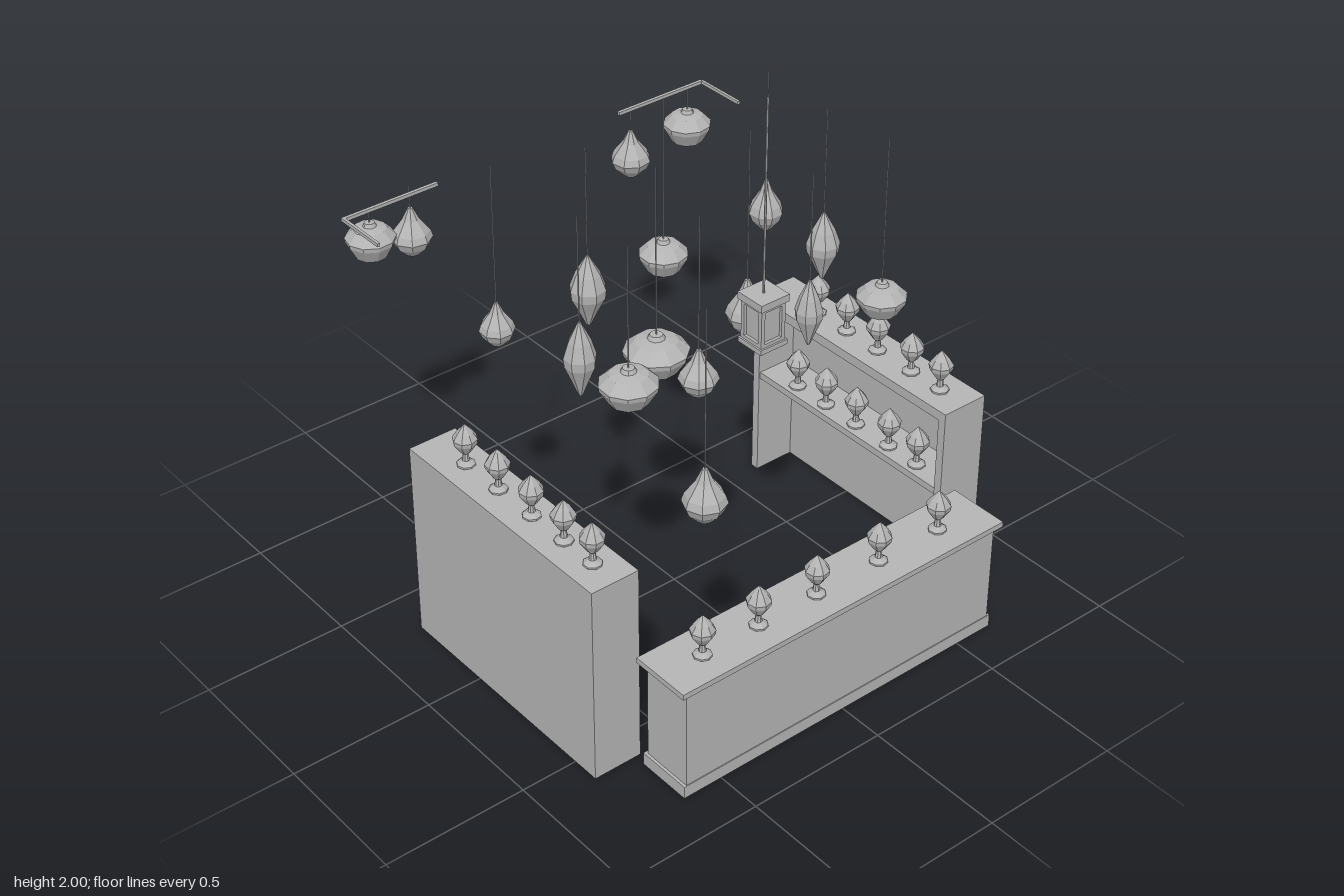
import * as THREE from 'three';

const grey = new THREE.MeshStandardMaterial({ color: 0xb4b4b4, flatShading: true });
grey.name = 'plain grey';

// Box given by its min and max corners
function box(parent, name, x0, x1, y0, y1, z0, z1) {
  const m = new THREE.Mesh(new THREE.BoxGeometry(x1 - x0, y1 - y0, z1 - z0), grey);
  m.position.set((x0 + x1) / 2, (y0 + y1) / 2, (z0 + z1) / 2);
  m.name = name;
  parent.add(m);
  return m;
}

// Faceted turned shape; profile is [radius, height] scaled by r and h
function turned(parent, name, profile, sides, r, h, x, y, z) {
  const pts = profile.map(([a, b]) => new THREE.Vector2(a * r, b * h));
  const m = new THREE.Mesh(new THREE.LatheGeometry(pts, sides), grey);
  m.position.set(x, y, z);
  m.rotation.y = x * 3 + z * 2;
  m.name = name;
  parent.add(m);
}

function wire(parent, name, r, x, z, y0, y1) {
  const m = new THREE.Mesh(new THREE.CylinderGeometry(r, r, y1 - y0, 6), grey);
  m.position.set(x, (y0 + y1) / 2, z);
  m.name = name;
  parent.add(m);
}

const SHAPES = {
  squat: { sides: 10, profile: [[0, 0], [0.28, 0], [0.65, 0.1], [0.97, 0.48], [1, 0.6], [0.65, 0.84], [0.27, 0.9], [0.2, 1], [0, 1]] },
  onion: { sides: 8, profile: [[0, 0], [0.32, 0], [0.82, 0.2], [1, 0.36], [0.88, 0.5], [0.4, 0.76], [0.12, 1], [0, 1]] },
  spindle: { sides: 8, profile: [[0, 0], [0.12, 0], [0.5, 0.2], [0.95, 0.42], [1, 0.54], [0.7, 0.74], [0.28, 0.92], [0.1, 1], [0, 1]] },
};
const LAMP = [[0, 0], [0.75, 0], [0.75, 0.04], [0.3, 0.12], [0.22, 0.28], [0.45, 0.34], [0.95, 0.55], [1, 0.65], [0.65, 0.8], [0.2, 0.94], [0, 1]];

function tableLamp(parent, x, y, z) {
  turned(parent, 'tableLamp', LAMP, 8, 0.041, 0.153, x, y, z);
}

function hangingLantern(parent, type, x, z, r, y0, y1, wireTop) {
  const g = new THREE.Group();
  g.name = type + 'Lantern';
  const s = SHAPES[type];
  turned(g, 'lanternBody', s.profile, s.sides, r, y1 - y0, x, y0, z);
  wire(g, 'lanternWire', 0.0022, x, z, y1 - 0.005, wireTop);
  parent.add(g);
}

// Shelf unit open towards the middle; s is the side it stands on
function cabinet(s, lampZ) {
  const g = new THREE.Group();
  g.name = 'shelfCabinet';
  const part = (name, a, b, y0, y1, z0, z1) =>
    box(g, name, Math.min(s * a, s * b), Math.max(s * a, s * b), y0, y1, z0, z1);
  part('backPanel', 0.78, 0.8, 0, 0.72, -0.33, 0.6);
  part('endPanel', 0.625, 0.78, 0, 0.72, -0.33, -0.3);
  part('endPanel', 0.625, 0.78, 0, 0.72, 0.57, 0.6);
  part('cabinetTop', 0.625, 0.78, 0.685, 0.72, -0.3, 0.57);
  part('shelf', 0.63, 0.78, 0.385, 0.41, -0.3, 0.57);
  for (const z of lampZ) {
    tableLamp(g, s * 0.71, 0.72, z);
    tableLamp(g, s * 0.675, 0.41, z - 0.05);
  }
  return g;
}

function counter() {
  const g = new THREE.Group();
  g.name = 'counter';
  box(g, 'counterTop', -0.66, 0.66, 0.405, 0.425, 0.63, 0.85);
  box(g, 'counterBody', -0.635, 0.635, 0.04, 0.405, 0.662, 0.835);
  box(g, 'counterBase', -0.645, 0.645, 0, 0.045, 0.64, 0.838);
  // Raised frame around five sunken panels on the inner side
  box(g, 'lowerRail', -0.635, 0.635, 0.045, 0.085, 0.65, 0.662);
  box(g, 'upperRail', -0.635, 0.635, 0.36, 0.405, 0.65, 0.662);
  for (let i = 0; i <= 5; i++) {
    const x = -0.615 + i * 0.246;
    box(g, 'stile', x - 0.02, x + 0.02, 0.085, 0.36, 0.65, 0.662);
  }
  for (const x of [-0.5, -0.28, -0.045, 0.215, 0.47]) tableLamp(g, x, 0.425, 0.745);
  return g;
}

// Square lantern on a long pole
function boxLantern() {
  const g = new THREE.Group();
  g.name = 'boxLantern';
  const z = 0.42;
  box(g, 'lanternCap', -0.055, 0.055, 1.32, 1.345, z - 0.055, z + 0.055);
  box(g, 'lanternFloor', -0.053, 0.053, 1.168, 1.185, z - 0.053, z + 0.053);
  box(g, 'lanternCore', -0.037, 0.037, 1.185, 1.32, z - 0.037, z + 0.037);
  for (const a of [-1, 1]) {
    for (const b of [-1, 1]) {
      const x = a * 0.04, w = z + b * 0.04;
      box(g, 'cornerPost', x - 0.007, x + 0.007, 1.185, 1.32, w - 0.007, w + 0.007);
    }
    for (const y of [1.19, 1.315]) {
      box(g, 'crossBar', -0.04, 0.04, y - 0.007, y + 0.007, z + a * 0.04 - 0.007, z + a * 0.04 + 0.007);
      box(g, 'crossBar', a * 0.04 - 0.007, a * 0.04 + 0.007, y - 0.007, y + 0.007, z - 0.04, z + 0.04);
    }
  }
  wire(g, 'pole', 0.004, 0, z, 1.34, 2);
  return g;
}

// Rail with a side arm and two lanterns
function hangingRail(s, squatY, onionY) {
  const g = new THREE.Group();
  g.name = 'hangingRail';
  box(g, 'rail', s < 0 ? -0.73 : 0.365, s < 0 ? -0.37 : 0.725, 1.328, 1.34, -0.747, -0.735);
  box(g, 'railArm', s * 0.725 - 0.005, s * 0.725 + 0.005, 1.328, 1.34, -0.74, -0.545);
  hangingLantern(g, 'squat', s * 0.645, -0.72, 0.083, squatY, squatY + 0.13, 1.335);
  hangingLantern(g, 'onion', s * 0.45, -0.785, 0.07, onionY, onionY + 0.17, 1.335);
  return g;
}

export function createModel() {
  const model = new THREE.Group();
  model.name = 'lanternStall';
  model.add(cabinet(-1, [-0.15, 0.02, 0.19, 0.35, 0.49]));
  model.add(cabinet(1, [-0.105, 0.04, 0.19, 0.35, 0.485]));
  model.add(counter(), boxLantern());
  model.add(hangingRail(-1, 1.175, 1.085), hangingRail(1, 1.135, 1.05));

  // Free hanging lanterns: type, x, z, radius, bottom, top
  const lanterns = [
    ['onion', -0.52, -0.225, 0.058, 1.05, 1.2],
    ['spindle', -0.235, -0.135, 0.06, 1.05, 1.3],
    ['squat', 0.135, -0.22, 0.082, 1.055, 1.18],
    ['onion', 0.52, -0.165, 0.058, 1.1, 1.28],
    ['squat', -0.145, 0.09, 0.107, 0.95, 1.09],
    ['onion', 0.215, 0.1, 0.071, 0.955, 1.15],
    ['spindle', -0.5, 0.17, 0.052, 1.06, 1.32],
    ['spindle', 0.49, 0.145, 0.055, 1.07, 1.31],
    ['squat', -0.49, 0.39, 0.093, 1.14, 1.27],
    ['onion', -0.225, 0.39, 0.064, 1.06, 1.22],
    ['spindle', 0.19, 0.415, 0.045, 1.08, 1.31],
    ['squat', 0.51, 0.4, 0.083, 1.05, 1.17],
    ['onion', -0.525, 0.78, 0.069, 0.965, 1.145],
  ];
  for (const l of lanterns) hangingLantern(model, ...l, 1.68);
  return model;
}
